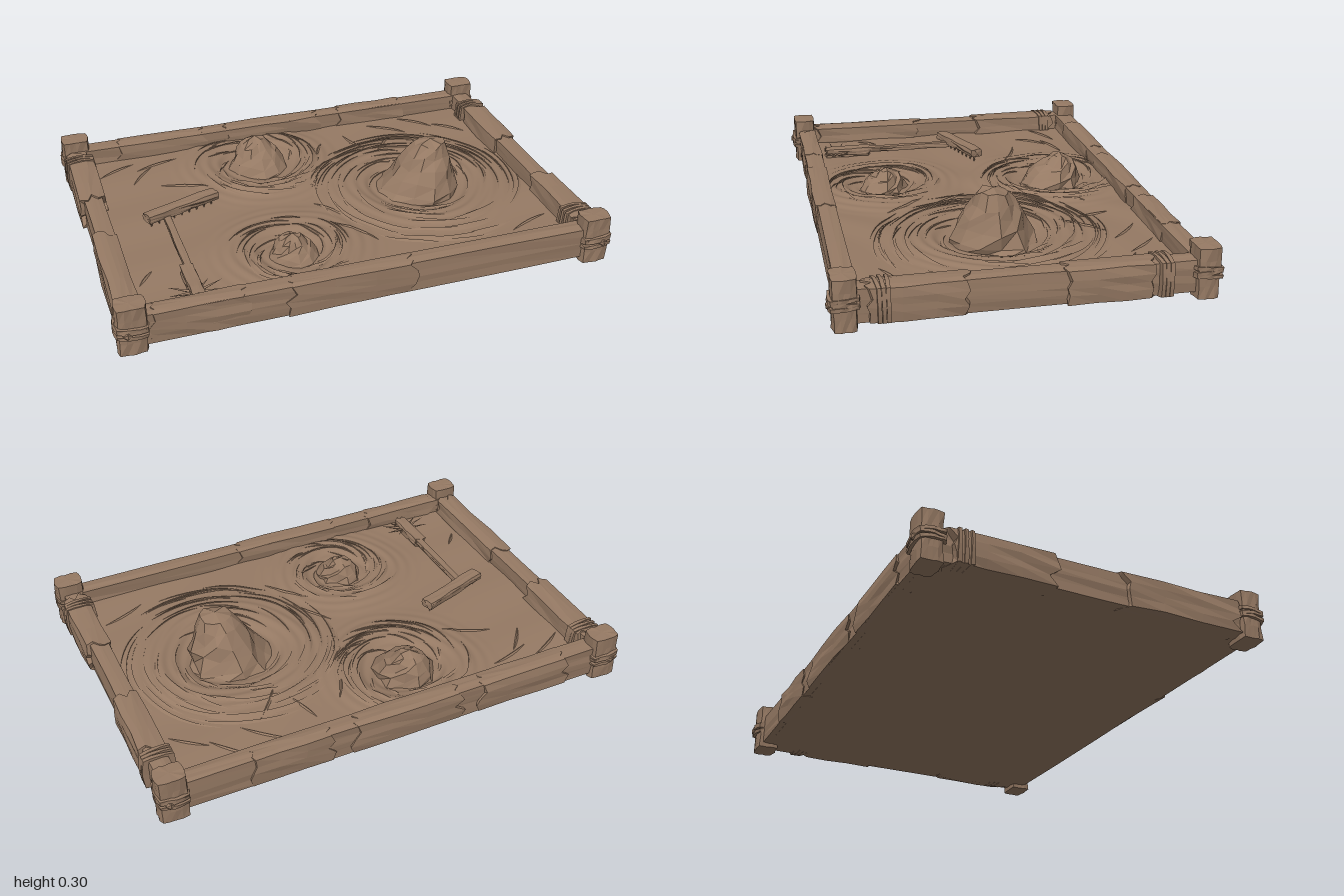
import * as THREE from 'three';

const wood = new THREE.MeshStandardMaterial({ color: 0x967a64, flatShading: true });
wood.name = 'warm brown';
const sandMat = new THREE.MeshStandardMaterial({ color: 0x967a64 });
sandMat.name = 'brown sand';

// Position-based noise in -1..1, so shared corners move together
const hash = (x, y, z) => {
  const r = v => Math.round(v * 500) / 500;
  const s = Math.sin(r(x) * 127.1 + r(y) * 311.7 + r(z) * 74.7 + 3.3) * 43758.5453;
  return (s - Math.floor(s)) * 2 - 1;
};
let seed = 7;
const rand = () => (seed = (seed * 16807) % 2147483647) / 2147483647;

function bend(geo, rule) {
  const p = geo.attributes.position, v = new THREE.Vector3();
  for (let i = 0; i < p.count; i++) {
    v.fromBufferAttribute(p, i);
    rule(v);
    p.setXYZ(i, v.x, v.y, v.z);
  }
  geo.computeVertexNormals();
  return geo;
}

function add(parent, name, geo, mat = wood) {
  const m = new THREE.Mesh(geo, mat);
  m.name = name;
  parent.add(m);
  return m;
}

// Rough-hewn bar; size and centre in world units, square 0 = round, 1 = sharp corners
function beam(parent, name, axis, size, pos, { segs = 4, rough = 0.003, ragged = 0, square = 0.85 } = {}) {
  const geo = new THREE.CylinderGeometry(1, 1, 1, 16, segs);
  bend(geo, v => {
    const m = Math.max(Math.abs(v.x), Math.abs(v.z));
    const s = m > 0.01 ? 0.5 / Math.pow(m, square) : 0;
    const jag = Math.abs(v.y) > 0.49 && s ? hash(v.x, v.y, v.z) * ragged : 0;
    v.set(v.x * s, v.y + jag, v.z * s);
  });
  if (axis === 'x') geo.rotateZ(Math.PI / 2);
  if (axis === 'z') geo.rotateX(Math.PI / 2);
  geo.scale(...size).translate(...pos);
  bend(geo, v => {
    const { x, y, z } = v;
    v.x += hash(x, y, z) * rough;
    v.y += hash(z, x, y) * rough * 0.5;
    v.z += hash(y, z, x) * rough;
  });
  return add(parent, name, geo);
}

// Rocks: centre, base radius, summit height, taper and the summit's sideways lean
const rocks = [
  { name: 'tallRock', x: 0.435, z: 0.02, r: 0.18, top: 0.302, taper: 0.66, steep: 1.15, lean: [0.05, 0.01], reach: 1.5 },
  { name: 'backRock', x: -0.165, z: -0.37, r: 0.135, top: 0.203, taper: 0.72, steep: 1.6, lean: [0, -0.045], reach: 1.0 },
  { name: 'frontRock', x: -0.23, z: 0.36, r: 0.11, top: 0.163, taper: 0.7, steep: 1.5, lean: [0, -0.015], reach: 1.1 },
];
const SAND = 0.086;

// Raked sand: a hollow and swirls round each rock, flowing lines elsewhere
function sandHeight(x, z) {
  let near = 9, rock = rocks[0];
  for (const k of rocks) {
    const d = Math.hypot(x - k.x, z - k.z) - k.r;
    if (d < near) { near = d; rock = k; }
  }
  const a = Math.atan2(z - rock.z, x - rock.x);
  const ring = Math.sin(near * 125 + a + Math.sin(a * 3) * 1.4) * 0.003;
  const flow = Math.sin((x * 0.7 + z + Math.sin(x * 4) * 0.15) * 18) * 0.003;
  const k = THREE.MathUtils.smoothstep(near, 0.1, 0.3);
  const swell = 0.012 * Math.exp(-Math.pow((near - 0.12) / 0.08, 2));
  const hollow = 0.014 * (1 - THREE.MathUtils.smoothstep(near, 0, 0.07));
  return SAND + ring * (1 - k) + flow * k + swell - hollow;
}

function buildRock(parent, k) {
  const geo = new THREE.CylinderGeometry(1, 1, 1, 12, 5);
  const base = 0.06;
  bend(geo, v => {
    const t = v.y + 0.5, n = hash(v.x, v.y, v.z);
    const rim = Math.hypot(v.x, v.z) > 0.5;
    const r = k.r * (1 - k.taper * Math.pow(t, k.steep)) * (1 + n * 0.1);
    const y = base + (k.top - base) * t - (rim && t > 0.05 ? Math.abs(n) * 0.026 : 0);
    v.set(k.x + v.x * r + k.lean[0] * t, y, k.z + v.z * r + k.lean[1] * t);
  });
  add(parent, k.name, geo);

  // Tapered ridges of sand spiralling around the rock
  const ridges = new THREE.Group();
  ridges.name = k.name + 'Ridges';
  const count = Math.round(k.r * 380);
  for (let i = 0; i < count; i++) {
    const r = k.r + 0.015 + rand() * k.r * k.reach, arc = 0.45 + rand() * 0.85;
    const turn = rand() * Math.PI * 2, drift = 0.02 + rand() * 0.04;
    const g = new THREE.TorusGeometry(r, 0.008, 3, 12, arc).rotateX(-Math.PI / 2).rotateY(turn);
    bend(g, v => {
      const a = Math.atan2(-v.z, v.x) - turn;
      const u = THREE.MathUtils.euclideanModulo(a + 0.01, Math.PI * 2) / arc;
      const slim = Math.sin(Math.PI * THREE.MathUtils.clamp(u, 0, 1)) + 0.05;
      const d = Math.hypot(v.x, v.z);
      const s = (r + (d - r) * slim + (u - 0.5) * drift) / d;
      const x = k.x + v.x * s, z = k.z + v.z * s;
      v.set(THREE.MathUtils.clamp(x, -0.89, 0.89), sandHeight(x, z) + v.y * slim * 0.8, THREE.MathUtils.clamp(z, -0.61, 0.61));
    });
    add(ridges, 'sandRidge', g);
  }
  parent.add(ridges);
}

// Loose rake strokes in the open corners: x, z, direction, length
function buildStrokes(parent) {
  const strokes = [
    [-0.78, -0.5, 0.5, 0.18], [-0.68, -0.42, 0.9, 0.16], [-0.6, -0.5, 0.3, 0.2], [-0.52, -0.28, -0.4, 0.22],
    [0.12, -0.38, 1.1, 0.14], [0.3, -0.42, 1.9, 0.16], [0.42, -0.35, 0.9, 0.2], [0.5, -0.5, -0.7, 0.2],
    [0.65, -0.52, -0.8, 0.18], [0.78, -0.42, -0.7, 0.16], [0.02, 0.12, -1.0, 0.2], [0.06, 0.3, -0.9, 0.22],
    [0.75, 0.45, 0.4, 0.2], [-0.82, 0.36, 0.9, 0.1],
  ];
  for (const [x, z, turn, len] of strokes) {
    const g = new THREE.CylinderGeometry(0.006, 0.006, len, 4, 6).rotateZ(Math.PI / 2);
    bend(g, v => {
      const slim = 1.05 - Math.pow(v.x / len * 2, 2);
      v.set(v.x, v.y * slim, v.z * slim + v.x * v.x * 0.8);
    });
    g.rotateY(turn).translate(x, 0, z);
    add(parent, 'sandStroke', bend(g, v => { v.y += sandHeight(v.x, v.z); }));
  }
}

function buildFrame(root) {
  const frame = new THREE.Group();
  frame.name = 'frame';
  root.add(frame);
  for (const s of [-1, 1]) {
    beam(frame, s > 0 ? 'frontRail' : 'backRail', 'x', [1.8, 0.132, 0.076], [0, 0.086, s * 0.638], { segs: 5 });
    beam(frame, s > 0 ? 'leftRail' : 'rightRail', 'z', [0.078, 0.132, 1.24], [s * 0.924, 0.086, 0], { segs: 4 });
  }
  // Split bark sections: axis, from, to, rail position, thickness
  const bark = [
    ['x', -0.33, 0.16, 0.64, 0.09], ['x', -0.85, -0.5, 0.638, 0.083],
    ['x', -0.74, -0.35, -0.641, 0.09], ['x', -0.25, 0.2, -0.639, 0.086], ['x', 0.3, 0.62, -0.64, 0.084],
    ['z', -0.58, -0.19, -0.925, 0.115], ['z', 0.1, 0.59, -0.927, 0.1],
    ['z', -0.45, -0.13, 0.927, 0.108], ['z', 0.22, 0.57, 0.927, 0.108],
  ];
  for (const [axis, a, b, at, w] of bark) {
    const mid = (a + b) / 2, len = b - a, style = { segs: 3, rough: 0.004, ragged: 0.06, square: 0.75 };
    if (axis === 'x') beam(frame, 'barkSection', 'x', [len, 0.136, w], [mid, 0.087, at], style);
    else beam(frame, 'barkSection', 'z', [w, 0.14, len], [at, 0.088, mid], style);
  }
  // Rope bindings on the side rails
  for (const [x, z] of [[0.925, -0.49], [0.925, 0.52], [-0.925, -0.53]]) {
    for (let i = -1; i <= 1; i++) {
      const rope = beam(frame, 'railRope', 'z', [0.13, 0.146, 0.014], [0, 0, 0], { segs: 1, rough: 0.002, square: 0.7 });
      rope.position.set(x, 0.09, z + i * 0.02);
      rope.rotation.y = i * 0.07 + 0.04;
    }
  }
  // Corner posts with a block foot, rope and cap
  for (const sx of [-1, 1]) for (const sz of [-1, 1]) {
    const post = new THREE.Group();
    post.name = 'cornerPost';
    post.position.set(sx * 0.93, 0, sz * 0.65);
    frame.add(post);
    beam(post, 'postFoot', 'y', [0.114, 0.1, 0.09], [0, 0.052, 0], { segs: 2, square: 0.65 });
    beam(post, 'postCap', 'y', [0.118, 0.1, 0.092], [0, 0.148, 0], { segs: 2, square: 0.65 });
    for (let i = 0; i < 3; i++) {
      const rope = beam(post, 'postRope', 'y', [0.13, 0.014, 0.114], [0, 0, 0], { segs: 1, square: 0.55 });
      rope.position.y = 0.086 + i * 0.015;
      rope.rotation.set(sz * 0.08 * (i % 2 ? -1 : 1), 0, 0.08 * sx);
    }
    const knot = add(post, 'ropeKnot', new THREE.IcosahedronGeometry(0.02, 0));
    knot.position.set(sx * 0.02, 0.095, sz * 0.046);
  }
}

function buildRake(root) {
  const rake = new THREE.Group();
  rake.name = 'rake';
  root.add(rake);
  beam(rake, 'rakeHandle', 'z', [0.03, 0.024, 0.4], [-0.655, 0.112, 0.19], { rough: 0.002 });
  beam(rake, 'rakeGrip', 'z', [0.052, 0.04, 0.2], [-0.66, 0.106, 0.47], { ragged: 0.03 });
  const head = new THREE.Group();
  head.name = 'rakeHead';
  head.position.set(-0.585, 0.132, -0.045);
  head.rotation.y = 0.33;
  rake.add(head);
  beam(head, 'rakeBar', 'x', [0.33, 0.034, 0.055], [0, 0, 0], { segs: 5 });
  for (let i = 0; i < 9; i++) {
    const tine = add(head, 'rakeTine', new THREE.ConeGeometry(0.009, 0.045, 5).rotateX(Math.PI));
    tine.position.set(-0.145 + i * 0.036, -0.032, 0);
  }
  // Frayed tuft around the grip
  for (let i = 0; i < 12; i++) {
    const a = (i / 12) * Math.PI * 2 + rand() * 0.3, len = 0.04 + 0.08 * Math.pow(Math.cos(a), 2);
    const g = new THREE.ConeGeometry(0.009, len, 4).translate(0, len / 2, 0).rotateZ(-1.4).rotateY(a);
    add(rake, 'tuftBlade', g).position.set(-0.66, 0.096, 0.52);
  }
}

export function createModel() {
  seed = 7;
  const root = new THREE.Group();
  root.name = 'sandGarden';
  add(root, 'trayBase', new THREE.BoxGeometry(1.88, 0.04, 1.3).translate(0, 0.04, 0));
  const sand = new THREE.PlaneGeometry(1.8, 1.24, 180, 124).rotateX(-Math.PI / 2);
  add(root, 'sand', bend(sand, v => { v.y = sandHeight(v.x, v.z); }), sandMat);
  rocks.forEach(k => buildRock(root, k));
  buildStrokes(root);
  buildFrame(root);
  buildRake(root);
  return root;
}
